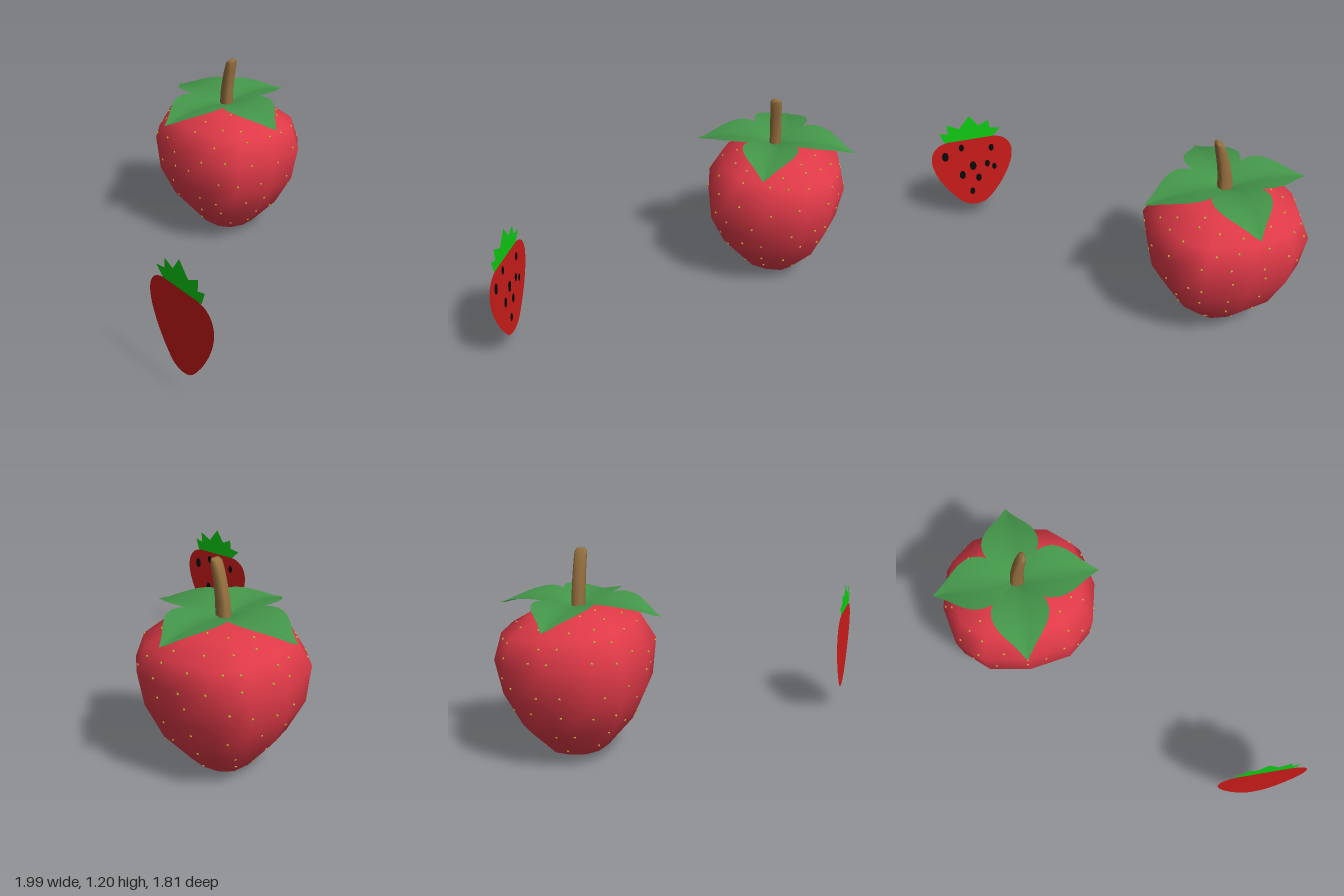
import * as THREE from 'three';
import { mergeVertices, mergeGeometries } from 'three/addons/utils/BufferGeometryUtils.js';

const mat = (color, side = THREE.FrontSide) => new THREE.MeshStandardMaterial({ color, side });

function add(parent, name, geometry, material) {
  const mesh = new THREE.Mesh(geometry, material);
  mesh.name = name;
  parent.add(mesh);
  return mesh;
}

// Vertex of a squarish ring {x, hx, front: [z, y], back: [z, y]}, tilted from front to back.
function ringPoint(r, j, sides, power) {
  const t = (j / sides) * Math.PI * 2;
  const soft = (v) => Math.sign(v) * Math.pow(Math.abs(v), power);
  const c = soft(Math.cos(t)), k = (1 - soft(Math.sin(t))) / 2;
  return new THREE.Vector3(
    r.x + r.hx * c,
    THREE.MathUtils.lerp(r.front[1], r.back[1], k),
    THREE.MathUtils.lerp(r.front[0], r.back[0], k));
}

// Skin over rings listed from bottom to top.
function loft(rings, sides, power) {
  const pos = [], index = [];
  rings.forEach((r, i) => {
    for (let j = 0; j < sides; j++) {
      pos.push(...ringPoint(r, j, sides, power).toArray());
      if (i === rings.length - 1) continue;
      const n = (j + 1) % sides, a = i * sides + j, b = i * sides + n;
      index.push(a, a + sides, b, b, a + sides, b + sides);
    }
  });
  let g = new THREE.BufferGeometry();
  g.setAttribute('position', new THREE.Float32BufferAttribute(pos, 3));
  g.setIndex(index);
  g = mergeVertices(g, 1e-4);
  g.computeVertexNormals();
  return g;
}

// Pointed leaf running along +x: cupped across, arched along its length.
function leafGeometry() {
  const g = new THREE.PlaneGeometry(1, 2, 12, 6).rotateX(-Math.PI / 2);
  const width = new THREE.CatmullRomCurve3([
    [0, 0.015], [0.06, 0.075], [0.14, 0.145], [0.23, 0.168],
    [0.32, 0.135], [0.41, 0.06], [0.49, 0.002],
  ].map(([s, w]) => new THREE.Vector3(s, w, 0)));
  const p = g.attributes.position;
  for (let i = 0; i < p.count; i++) {
    const u = p.getX(i) + 0.5, side = p.getZ(i), w = width.getPoint(u);
    const rise = 0.045 * Math.sin(Math.PI * Math.min(1, u * 1.05));
    p.setXYZ(i, w.x, rise + 0.2 * w.y * Math.pow(Math.abs(side), 0.8) - 0.01 * u, side * w.y);
  }
  g.computeVertexNormals();
  return g;
}

export function createModel() {
  const root = new THREE.Group();
  root.name = 'strawberries';
  const solid = new THREE.Group();
  solid.name = 'solidStrawberry';
  root.add(solid);

  // Fruit body
  const SIDES = 12, POWER = 0.8;
  const rings = [
    [0, [-0.415, 0.005], [-0.415, 0.005]],
    [0.18, [-0.25, 0.07], [-0.58, 0.045]],
    [0.33, [-0.1, 0.25], [-0.73, 0.21]],
    [0.435, [-0.02, 0.44], [-0.82, 0.41]],
    [0.465, [0, 0.66], [-0.86, 0.61]],
    [0.4, [-0.09, 0.81], [-0.82, 0.76]],
    [0.24, [-0.25, 0.875], [-0.67, 0.85]],
    [0, [-0.42, 0.88], [-0.42, 0.88]],
  ].map(([hx, front, back]) => ({ x: -0.5, hx, front, back }));
  add(solid, 'fruit', loft(rings, SIDES, POWER), mat(0xe03a48));

  // Seeds in staggered, slightly uneven rows over the skin
  let state = 7;
  const rand = () => (state = (state * 16807) % 2147483647) / 2147483647;
  const skin = (v, u) => {
    const i = Math.floor(v), j = Math.floor(u);
    const edge = (r) => ringPoint(r, j, SIDES, POWER).lerp(ringPoint(r, j + 1, SIDES, POWER), u - j);
    return edge(rings[i]).lerp(edge(rings[i + 1]), v - i);
  };
  const seeds = [];
  [[0.4, 3], [1.1, 8], [1.8, 12], [2.5, 14], [3.2, 16], [3.9, 16], [4.6, 16], [5.3, 13], [5.9, 9]]
    .forEach(([row, count], k) => {
      for (let n = 0; n < count; n++) {
        const u = ((n + (k % 2) / 2 + rand() * 0.6) / count * SIDES) % SIDES;
        const p = skin(row + rand() * 0.4, u);
        seeds.push(new THREE.IcosahedronGeometry(0.008, 0).translate(p.x, p.y, p.z));
      }
    });
  add(solid, 'seeds', mergeGeometries(seeds), mat(0xc9a83c));

  // Four leaves around the stem
  const leaf = leafGeometry(), leafMat = mat(0x44964a, THREE.DoubleSide);
  for (let i = 0; i < 4; i++) {
    const m = add(solid, 'leaf' + (i + 1), leaf, leafMat);
    m.position.set(-0.5, 0.875, -0.415);
    m.rotation.y = (i * Math.PI) / 2;
  }

  // Curved stem
  const stemRings = [
    [0.86, -0.493, 0.043], [0.97, -0.487, 0.039], [1.07, -0.47, 0.034],
    [1.14, -0.453, 0.03], [1.185, -0.44, 0.023], [1.2, -0.432, 0.012], [1.2, -0.432, 0],
  ].map(([y, x, hx]) => {
    const hz = hx ? (y > 1.19 ? 0.026 : 0.035) : 0;
    return { x, hx, front: [-0.415 + hz, y], back: [-0.415 - hz, y] };
  });
  add(solid, 'stem', loft(stemRings, 12, 0.7), mat(0x96703f));

  // Flat cut-out strawberry standing in front
  const flat = new THREE.Group();
  flat.name = 'flatStrawberry';
  flat.position.set(0.735, 0, 0.9);
  root.add(flat);

  const body = new THREE.Shape();
  body.moveTo(-0.15, 0.645);
  body.bezierCurveTo(-0.22, 0.635, -0.265, 0.59, -0.265, 0.51);
  body.bezierCurveTo(-0.265, 0.4, -0.17, 0.25, -0.1, 0.175);
  body.bezierCurveTo(-0.05, 0.115, 0.05, 0.115, 0.1, 0.175);
  body.bezierCurveTo(0.17, 0.25, 0.265, 0.4, 0.265, 0.51);
  body.bezierCurveTo(0.265, 0.59, 0.22, 0.635, 0.15, 0.645);
  add(flat, 'flatFruit', new THREE.ShapeGeometry(body, 12), mat(0xcc1c1a, THREE.DoubleSide));

  const crown = new THREE.Shape([
    [-0.145, 0.645], [-0.2, 0.7], [-0.13, 0.71], [-0.125, 0.77], [-0.06, 0.74], [-0.005, 0.82],
    [0.065, 0.735], [0.145, 0.775], [0.14, 0.705], [0.195, 0.72], [0.17, 0.645],
  ].map(([x, y]) => new THREE.Vector2(x, y)));
  add(flat, 'flatCrown', new THREE.ShapeGeometry(crown), mat(0x10cc14, THREE.DoubleSide));

  // Dark seeds on the rear of the cut-out
  const marks = [
    [0.175, 0.54, 1.3], [0.065, 0.59, 1], [0.075, 0.38, 1.2], [0, 0.44, 1.3],
    [-0.095, 0.44, 1], [-0.13, 0.56, 1], [-0.03, 0.34, 1.1], [-0.14, 0.41, 0.9], [0.02, 0.24, 1],
  ].map(([x, y, s]) => new THREE.CircleGeometry(0.017 * s, 10).scale(1, 1.6, 1).translate(x, y, -0.002));
  add(flat, 'flatSeeds', mergeGeometries(marks), mat(0x0a0a0a, THREE.DoubleSide));

  return root;
}
